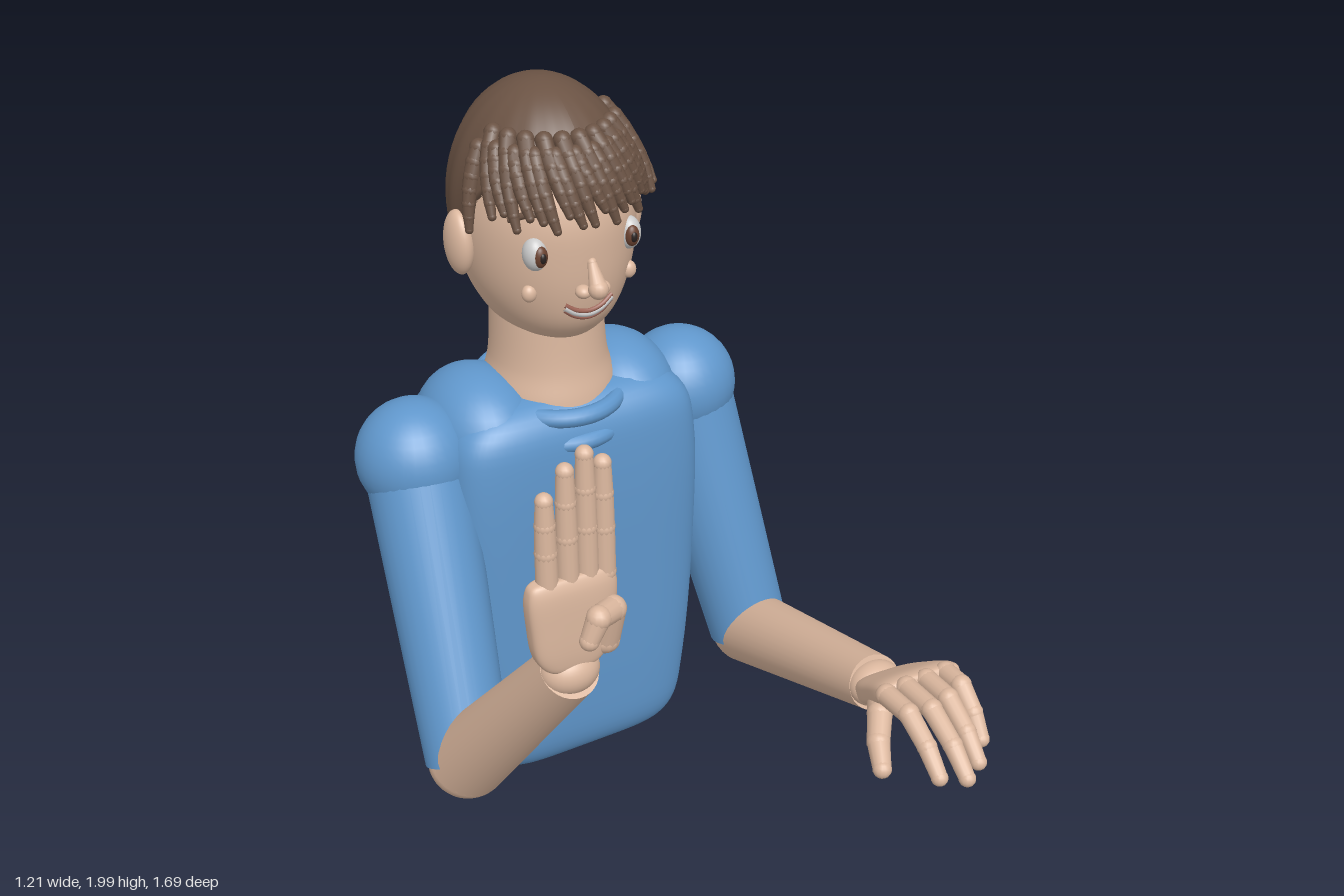
import * as THREE from 'three';
import { mergeVertices, mergeGeometries } from 'three/addons/utils/BufferGeometryUtils.js';

const mat = (color) => new THREE.MeshStandardMaterial({ color });
const V = (x, y, z) => new THREE.Vector3(x, y, z);

// Smooth rings [y, halfWidth, halfDepth] into a dense profile
const smooth = (rings, n = 40) =>
  new THREE.CatmullRomCurve3(rings.map(([y, a, b]) => V(a, y, b))).getPoints(n);

// Closed loft of superellipse cross-sections, bottom to top
function loft(rings, power = 2, sides = 48) {
  const prof = smooth(rings);
  const g = new THREE.LatheGeometry(prof.map((p) => new THREE.Vector2(1, p.y)), sides);
  const pos = g.attributes.position;
  const bend = (v) => Math.sign(v) * Math.pow(Math.abs(v), 2 / power);
  for (let i = 0; i < pos.count; i++) {
    const p = prof[i % prof.length];
    const a = (Math.floor(i / prof.length) / sides) * Math.PI * 2;
    pos.setXYZ(i, Math.max(0, p.x) * bend(Math.sin(a)), p.y, Math.max(0, p.z) * bend(Math.cos(a)));
  }
  g.deleteAttribute('uv');
  g.deleteAttribute('normal');
  const m = mergeVertices(g, 1e-5);
  m.computeVertexNormals();
  return m;
}

// Tapered cylinders joined by balls along a list of points
function chain(points, radii, sides = 14) {
  const parts = [];
  points.forEach((p, i) => {
    parts.push(new THREE.SphereGeometry(radii[i], sides, 10).translate(p.x, p.y, p.z));
    const q = points[i + 1];
    if (!q) return;
    const d = q.clone().sub(p);
    const c = new THREE.CylinderGeometry(radii[i + 1] * 0.96, radii[i] * 0.96, d.length(), sides, 1);
    c.applyQuaternion(new THREE.Quaternion().setFromUnitVectors(V(0, 1, 0), d.clone().normalize()));
    parts.push(c.translate((p.x + q.x) / 2, (p.y + q.y) / 2, (p.z + q.z) / 2));
  });
  return mergeGeometries(parts);
}

export function createModel() {
  const root = new THREE.Group();
  const skin = mat(0xdcb89f), cloth = mat(0x6097cc), hair = mat(0x6b5344);
  const white = mat(0xd8d8d6), brown = mat(0x6a4230), lip = mat(0x9c6456);
  const add = (name, geo, m, parent = root) => {
    const mesh = new THREE.Mesh(geo, m);
    mesh.name = name;
    parent.add(mesh);
    return mesh;
  };
  const ball = (name, m, p, r, parent = root) =>
    add(name, new THREE.SphereGeometry(1, 32, 20).scale(...r).translate(...p), m, parent);
  const tube = (name, pts, r, m, parent) =>
    add(name, new THREE.TubeGeometry(new THREE.CatmullRomCurve3(pts), 20, r, 8), m, parent);

  // Torso, shoulder yoke and collar
  add('torso', loft([[0.01, 0, 0], [0.012, 0.2, 0.11], [0.035, 0.27, 0.165], [0.1, 0.31, 0.2],
    [0.25, 0.335, 0.215], [0.6, 0.362, 0.223], [1.0, 0.365, 0.225], [1.12, 0.34, 0.21],
    [1.18, 0.26, 0.16], [1.19, 0, 0]], 5, 64), cloth).position.set(-0.022, 0, -0.568);
  for (const s of [1, -1]) {
    ball('yoke', cloth, [-0.03 + s * 0.205, 1.08, -0.575], [0.16, 0.165, 0.205]);
  }
  for (const y of [1.155, 1.08]) {
    const ring = new THREE.TorusGeometry(0.21, 0.024, 12, 56).rotateX(Math.PI / 2);
    ring.scale(0.85, 1, 1.02);
    add('collarRing', ring, cloth).position.set(-0.025, y, -0.57);
  }
  add('neck', loft([[1.1, 0.18, 0.19], [1.18, 0.175, 0.18], [1.26, 0.155, 0.165], [1.45, 0.145, 0.155]]), skin)
    .position.set(-0.025, 0, -0.572);

  // Head
  const head = new THREE.Group();
  head.name = 'head';
  head.position.set(-0.022, 0, -0.57);
  root.add(head);
  const skull = [[1.32, 0, 0], [1.325, 0.06, 0.08], [1.36, 0.12, 0.16], [1.42, 0.168, 0.215], [1.5, 0.205, 0.24],
    [1.6, 0.225, 0.252], [1.7, 0.225, 0.252], [1.8, 0.2, 0.22], [1.9, 0.13, 0.15], [1.95, 0, 0]];
  add('skull', loft(skull), skin, head);
  const profile = smooth(skull, 200);
  const faceZ = (x, y) => {
    const p = profile.find((q) => q.y >= y);
    return p.z * Math.sqrt(Math.max(0, 1 - (x / p.x) ** 2));
  };
  const onFace = (x, y, out = 0) => V(x, y, faceZ(x, y) + out);

  // Face features mirrored about the nose
  for (const s of [1, -1]) {
    const x = s * 0.13;
    ball('eye', white, onFace(x, 1.633, -0.005).toArray(), [0.031, 0.043, 0.034], head);
    ball('iris', brown, onFace(x - s * 0.003, 1.633, 0.016).toArray(), [0.019, 0.028, 0.016], head);
    ball('pupil', mat(0x2a2220), onFace(x - s * 0.004, 1.633, 0.027).toArray(), [0.009, 0.014, 0.008], head);
    tube('brow', [[0.08, 1.715], [0.125, 1.735], [0.175, 1.715]].map(([a, y]) => onFace(s * a, y, 0.004)), 0.009, hair, head);
    ball('cheek', skin, onFace(s * 0.14, 1.522).toArray(), [0.02, 0.023, 0.018], head);
    ball('nostril', skin, onFace(s * 0.027, 1.528, 0.01).toArray(), [0.02, 0.017, 0.022], head);
    ball('ear', skin, [s * 0.238, 1.61, 0], [0.034, 0.085, 0.056], head);
  }
  add('noseBridge', chain([onFace(0, 1.6), onFace(0, 1.54, 0.036)], [0.012, 0.026]), skin, head);
  const smile = (dy) => [-0.066, -0.035, 0, 0.035, 0.066].map((x) => onFace(x, 1.447 + dy + 7 * x * x * (1 - dy * 8), 0.002));
  tube('teeth', smile(0.007), 0.009, white, head);
  tube('upperLip', smile(0.016), 0.006, lip, head);
  tube('lowerLip', smile(-0.004), 0.006, lip, head);

  // Hair cap: low at the back, high over the forehead, with soft ridges
  const rx = 0.235, ry = 0.325, rz = 0.277, hy = 1.67;
  const cols = 96, rows = 24;
  const cap = new THREE.SphereGeometry(1, cols, rows);
  const cp = cap.attributes.position;
  for (let i = 0; i < cp.count; i++) {
    const a = ((i % (cols + 1)) / cols) * Math.PI * 2, row = Math.floor(i / (cols + 1));
    const drop = THREE.MathUtils.smoothstep((1 - Math.cos(a)) / 2, 0.2, 0.8);
    const end = Math.acos((1.8 - 0.32 * drop - hy) / ry);
    const th = end * Math.min(1, row / (rows - 1));
    const k = (row === rows ? 0.82 : 1) * (1 + 0.008 * Math.cos(18 * a) * Math.sin(th));
    cp.setXYZ(i, rx * k * Math.sin(a) * Math.sin(th), hy + ry * Math.cos(th), rz * k * Math.cos(a) * Math.sin(th));
  }
  // Sphere columns run the other way round, so flip the winding
  const ix = cap.index.array;
  for (let i = 0; i < ix.length; i += 3) [ix[i], ix[i + 1]] = [ix[i + 1], ix[i]];
  cap.computeVertexNormals();
  const capMat = mat(0x6b5344);
  capMat.side = THREE.DoubleSide;
  add('hairCap', cap, capMat, head);

  // Beaded fringe strands hugging the cap: start angle, lean, top y, tip y
  const strand = (a0, lean, top, tip, lift = 0.02) => {
    const pts = [], radii = [];
    for (let j = 0; j <= 6; j++) {
      const t = j / 6, y = top + (tip - top) * t, a = THREE.MathUtils.degToRad(a0 + lean * t);
      const k = Math.sqrt(Math.max(0, 1 - ((y - hy) / ry) ** 2)) * (1 + lift * t);
      pts.push(V(rx * k * Math.sin(a), y, rz * k * Math.cos(a)));
      radii.push(0.023 - 0.012 * t * t);
    }
    add('fringeStrand', chain(pts, radii, 10), hair, head);
  };
  for (let i = 0; i < 17; i++) {
    strand(-72 + i * 7.3, 12, 1.9 - 0.03 * (i % 2), 1.725 + 0.02 * Math.sin(i * 2.3), 0.05);
  }
  strand(72, -8, 1.88, 1.7, 0.12);
  strand(88, -18, 1.89, 1.71, 0.16);
  strand(-80, 4, 1.86, 1.67, 0.05);

  // Arms: shoulder ball, sleeve, elbow, forearm, wrist
  const arm = (name, shoulder, elbow, wrist) => {
    const g = new THREE.Group();
    g.name = name;
    root.add(g);
    ball('shoulder', cloth, shoulder.toArray(), [0.157, 0.157, 0.157], g);
    const rod = (part, p, q, r0, r1, m) => {
      const d = q.clone().sub(p);
      const mesh = add(part, new THREE.CylinderGeometry(r1, r0, d.length(), 32), m, g);
      mesh.position.copy(p).addScaledVector(d, 0.5);
      mesh.quaternion.setFromUnitVectors(V(0, 1, 0), d.normalize());
    };
    rod('sleeve', shoulder, elbow, 0.14, 0.114, cloth);
    ball('elbow', skin, elbow.toArray(), [0.108, 0.108, 0.108], g);
    rod('forearm', elbow, wrist, 0.108, 0.074, skin);
    ball('wrist', skin, wrist.toArray(), [0.074, 0.06, 0.06], g);
    return g;
  };
  // Palm from the wrist to the knuckles, plus jointed fingers and thumb
  const hand = (g, from, to, across, fingers, thumb) => {
    const palm = add('palm', loft([[0, 0, 0], [0.004, 0.06, 0.028], [0.04, 0.092, 0.036], [0.13, 0.108, 0.038],
      [0.22, 0.112, 0.034], [0.248, 0.1, 0.024], [0.252, 0, 0]], 3.5), skin, g);
    const up = to.clone().sub(from).normalize();
    const side = across.clone().addScaledVector(up, -across.dot(up)).normalize();
    palm.quaternion.setFromRotationMatrix(new THREE.Matrix4().makeBasis(side, up, side.clone().cross(up)));
    palm.position.copy(from);
    fingers.forEach((pts) => add('finger', chain(pts, [0.028, 0.027, 0.025, 0.021]), skin, g));
    add('thumb', chain(thumb, [0.036, 0.033, 0.03, 0.024]), skin, g);
  };

  // Raised right hand
  const right = arm('rightArm', V(-0.425, 1.05, -0.56), V(-0.495, 0.335, -0.185), V(-0.42, 0.9, 0.275));
  const raised = [[-0.474, 1.38], [-0.421, 1.44], [-0.372, 1.47], [-0.328, 1.435]].map(([x, tip]) =>
    [0, 0.42, 0.73, 1].map((t) => V(x, 1.15 + (tip - 1.15) * t, 0.285)));
  hand(right, V(-0.42, 0.92, 0.285), V(-0.415, 1.17, 0.285), V(1, 0, 0), raised,
    [V(-0.335, 0.97, 0.295), V(-0.33, 1.07, 0.325), V(-0.385, 1.085, 0.36), V(-0.41, 1.03, 0.36)]);

  // Lowered left hand, fingers arching forward and down
  const left = arm('leftArm', V(0.37, 1.055, -0.56), V(0.49, 0.3, -0.355), V(0.43, 0.57, 0.335));
  const lowered = [[0.3, 0.285, 0.79], [0.36, 0.34, 0.825], [0.42, 0.4, 0.79], [0.478, 0.46, 0.725]].map(
    ([x0, x1, z]) => [[0, 0.725], [0.4, 0.735], [0.75, 0.695], [1, 0.645]].map(
      ([t, y]) => V(x0 + (x1 - x0) * t, y, 0.55 + (z - 0.55) * t)));
  hand(left, V(0.438, 0.575, 0.355), V(0.41, 0.725, 0.555), V(1, 0, 0.06), lowered,
    [V(0.37, 0.63, 0.44), V(0.315, 0.635, 0.51), V(0.27, 0.605, 0.57), V(0.24, 0.575, 0.63)]);
  return root;
}
